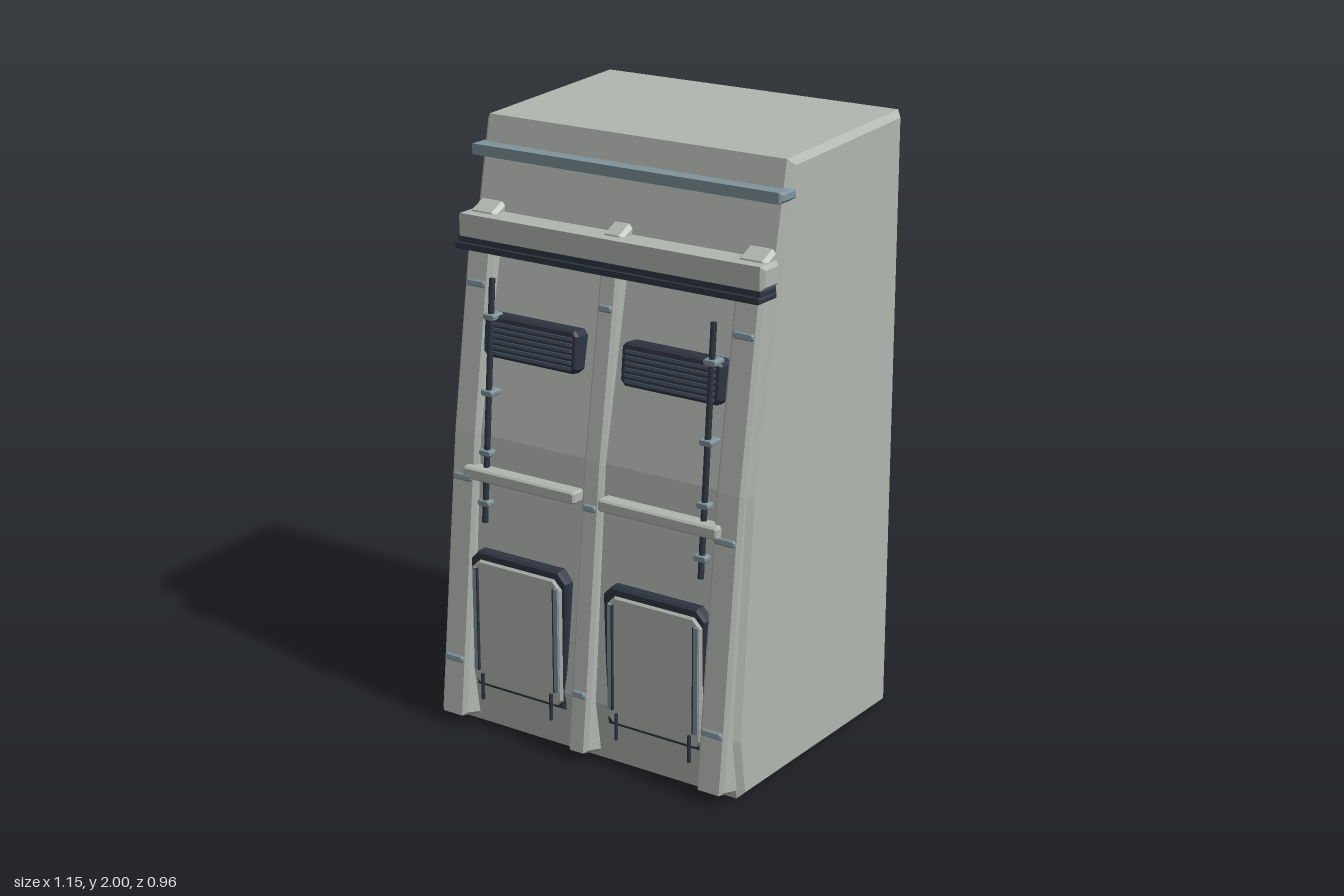
import * as THREE from 'three';

const mat = (name, color) => {
  const m = new THREE.MeshStandardMaterial({ color });
  m.name = name;
  return m;
};

export function createModel() {
  const root = new THREE.Group();
  root.name = 'wallModule';
  const shell = mat('paleGrey', 0xb1b6b0);
  const steel = mat('blueSteel', 0x7f929b);
  const dark = mat('darkSlate', 0x2d3542);
  const slat = mat('slateSlat', 0x465264);

  const add = (name, geo, material, x = 0, y = 0, z = 0, tilt = 0, parent = root) => {
    const m = new THREE.Mesh(geo, material);
    m.name = name;
    m.position.set(x, y, z);
    m.rotation.x = tilt;
    parent.add(m);
    return m;
  };
  const bevelled = (shape, depth, bevel) => {
    const d = depth - 2 * bevel;
    const g = new THREE.ExtrudeGeometry(shape, {
      depth: d, bevelEnabled: true, bevelSegments: 1,
      bevelSize: bevel, bevelThickness: bevel, bevelOffset: -bevel,
    });
    return g.translate(0, 0, -d / 2);
  };
  // Side profile of [z, y] points, extruded across x
  const across = (pts, width, bevel) =>
    bevelled(new THREE.Shape(pts.map(p => new THREE.Vector2(...p))), width, bevel).rotateY(-Math.PI / 2);
  // Rectangle with cut corners, facing +z
  const plate = (w, h, d, top, bottom, bevel) => {
    const a = w / 2, b = h / 2;
    const pts = [[-a + bottom, -b], [a - bottom, -b], [a, -b + bottom], [a, b - top],
      [a - top, b], [-a + top, b], [-a, b - top], [-a, -b + bottom]];
    return bevelled(new THREE.Shape(pts.map(p => new THREE.Vector2(...p))), d, bevel);
  };
  const box = (w, h, d) => new THREE.BoxGeometry(w, h, d);

  // Main block with a sloping front
  add('body', across([[-0.48, 0], [0.395, 0], [0.425, 0.2], [0.362, 0.98], [0.16, 1.965], [-0.48, 2]],
    1.14, 0.02), shell);

  // Three sloping pilasters with clamps
  const front = y => y > 0.98 ? 0.38 - (y - 0.98) * 0.157 : 0.48 - (y - 0.04) * 0.1064;
  const ribPts = [[0.37, 0.01], [0.48, 0.04], [0.38, 0.98], [0.272, 1.68], [0.22, 1.705],
    [0.17, 1.705], [0.32, 0.98]];
  for (const [x, w] of [[-0.502, 0.1], [0, 0.075], [0.502, 0.1]]) {
    add('pilaster', across(ribPts, w, 0.012), shell, x);
    for (const y of [0.23, 0.835, 1.455])
      add('pilasterClamp', plate(w - 0.025, 0.022, 0.03, 0.006, 0.006, 0.004), steel, x, y, front(y) - 0.005, -0.12);
  }

  // Horizontal trims across the full width
  const bar = (name, material, w, y0, y1, z0, z1, bevel) =>
    add(name, across([[z0, y0], [z1, y0], [z1, y1], [z0, y1]], w, bevel), material);
  bar('upperRail', steel, 1.15, 1.845, 1.88, 0.14, 0.23, 0.008);
  bar('headerBeam', shell, 1.14, 1.6, 1.675, 0.22, 0.312, 0.012);
  bar('headerSealUpper', dark, 1.13, 1.582, 1.602, 0.23, 0.315, 0.004);
  bar('headerSealLower', dark, 1.135, 1.565, 1.584, 0.23, 0.328, 0.004);

  for (const s of [-1, 1]) {
    const bay = new THREE.Group();
    bay.name = s < 0 ? 'rightBay' : 'leftBay';
    root.add(bay);
    const put = (name, geo, material, x, y, z, tilt = 0) => add(name, geo, material, s * x, y, z, tilt, bay);

    // Waist bar
    put('waistBar', plate(0.44, 0.04, 0.07, 0.006, 0.006, 0.006), shell, 0.265, 0.862, 0.385);
    put('waistBarFoot', box(0.06, 0.035, 0.06), shell, 0.455, 0.862, 0.365);

    // Vent with horizontal slats
    put('ventFrame', plate(0.365, 0.137, 0.08, 0.016, 0.016, 0.008), dark, 0.265, 1.303, 0.305, -0.1);
    for (let i = 0; i < 6; i++) {
      const y = 1.256 + i * 0.0185;
      put('ventSlat', box(0.325, 0.009, 0.014), slat, 0.265, y, 0.3455 - (y - 1.303) * 0.1, -0.1);
    }

    // Upright conduit with clips
    const rodZ = y => 0.335 + (1.49 - y) * 0.079;
    put('conduit', new THREE.CylinderGeometry(0.01, 0.01, 0.795, 8), dark, 0.415, 1.095, rodZ(1.095), -0.079);
    for (const y of [0.765, 0.93, 1.125, 1.37])
      put('conduitClip', plate(0.046, 0.02, 0.05, 0.005, 0.005, 0.003), steel, 0.415, y, rodZ(y) - 0.01);

    // Lower hatch: dark surround, panel, side strips, hinge pins
    const surround = new THREE.Shape([[-0.178, -0.235], [0.178, -0.235], [0.188, 0], [0.193, 0.2], [0.16, 0.235],
      [-0.16, 0.235], [-0.193, 0.2], [-0.188, 0]].map(p => new THREE.Vector2(...p)));
    put('hatchSurround', bevelled(surround, 0.06, 0.008), dark, 0.262, 0.375, 0.398);
    put('hatchPanel', plate(0.355, 0.43, 0.06, 0.03, 0.02, 0.007), shell, 0.266, 0.367, 0.406);
    for (const d of [-1, 1]) {
      put('hatchStrip', box(0.016, 0.355, 0.012), steel, 0.266 + d * 0.161, 0.378, 0.438);
      put('hatchStripEdge', box(0.004, 0.355, 0.014), dark, 0.266 + d * 0.152, 0.378, 0.438);
      put('hingePin', new THREE.CylinderGeometry(0.006, 0.006, 0.09, 8), dark, 0.266 + d * 0.138, 0.146, 0.441);
    }
  }
  return root;
}
